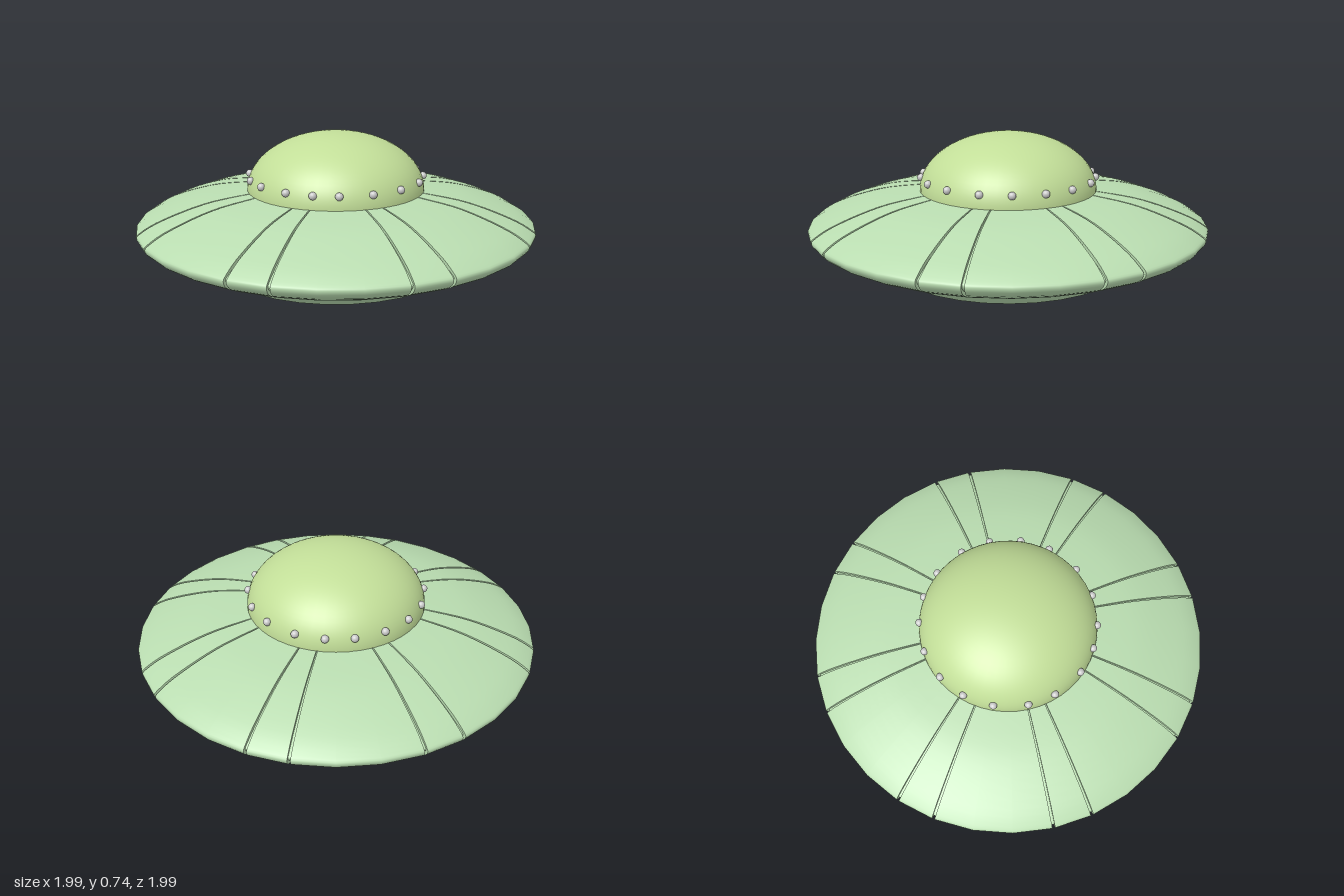
import * as THREE from 'three';
import { toCreasedNormals } from 'three/addons/utils/BufferGeometryUtils.js';

const V = (x, y) => new THREE.Vector2(x, y);
const RAD = Math.PI / 180;

export function createModel() {
  const group = new THREE.Group();
  group.name = 'flyingSaucer';
  const hullMat = new THREE.MeshStandardMaterial({ color: 0xb9dcb0, side: THREE.DoubleSide });
  const domeMat = new THREE.MeshStandardMaterial({ color: 0xc2de98 });
  const beadMat = new THREE.MeshStandardMaterial({ color: 0xcccccc });

  const add = (name, geometry, material, parent = group) => {
    const mesh = new THREE.Mesh(geometry, material);
    mesh.name = name;
    parent.add(mesh);
    return mesh;
  };

  // Hull section, from the lower edge round the rim to the dome
  const skin = new THREE.SplineCurve([
    V(0.7, 0.135), V(0.845, 0.18), V(0.94, 0.222), V(0.982, 0.25), V(0.997, 0.28),
    V(0.975, 0.302), V(0.9, 0.343), V(0.76, 0.393), V(0.62, 0.428), V(0.43, 0.452),
  ]).getPoints(27);
  // The same section sunk inward: the floor of the grooves
  const floor = skin.map((p) => V(p.x - 0.017 * Math.max(0, (p.x - 0.43) / 0.57),
    p.y - 0.012 * Math.sign(p.y - 0.28) * Math.min(1, Math.abs(p.y - 0.28) / 0.05)));
  add('grooveFloor', new THREE.LatheGeometry(floor, 32), hullMat);

  // Narrow and wide panels, alternating, parted by grooves
  const panels = new THREE.Group();
  panels.name = 'hullPanels';
  group.add(panels);
  const gap = 0.4 * RAD;
  const wall = new THREE.ShapeGeometry(new THREE.Shape([...skin, ...floor.slice().reverse()]));
  for (let i = 0; i < 8; i++) {
    for (const [from, span, segments] of [[0, 11.25, 1], [11.25, 33.75, 3]]) {
      const start = (i * 45 + from) * RAD + gap;
      const length = span * RAD - 2 * gap;
      add('hullPanel', new THREE.LatheGeometry(skin, segments, start, length), hullMat, panels);
      for (const angle of [start, start + length]) {
        add('grooveWall', wall, hullMat, panels).rotation.y = angle - Math.PI / 2;
      }
    }
  }

  // Underside: central well, round foot, recess and sloping skirt
  const under = [
    V(0, 0.074), V(0.19, 0.074), V(0.19, 0), V(0.38, 0.012), V(0.38, 0.078),
    V(0.47, 0.078), V(0.47, 0.037), V(0.6, 0.06), V(0.7, 0.135),
  ];
  add('underside', toCreasedNormals(new THREE.LatheGeometry(under, 32), 0.3), hullMat);

  // Dome: flattened half sphere
  const dome = new THREE.SphereGeometry(0.445, 48, 20, 0, Math.PI * 2, 0, Math.PI / 2);
  dome.scale(1, 0.285 / 0.445, 1);
  dome.translate(0, 0.45, 0);
  add('dome', dome, domeMat);

  // Beads round the foot of the dome, slightly uneven
  const beads = new THREE.Group();
  beads.name = 'beads';
  group.add(beads);
  const beadGeometry = new THREE.SphereGeometry(0.019, 16, 12);
  const angles = [-87, -65, -45, -24, -4, 19, 40, 61, 77, 95, 117, 135, 157, 177, 196, 216, 236, 254];
  for (const a of angles) {
    add('bead', beadGeometry, beadMat, beads)
      .position.set(0.437 * Math.cos(a * RAD), 0.516, 0.437 * Math.sin(a * RAD));
  }
  return group;
}
